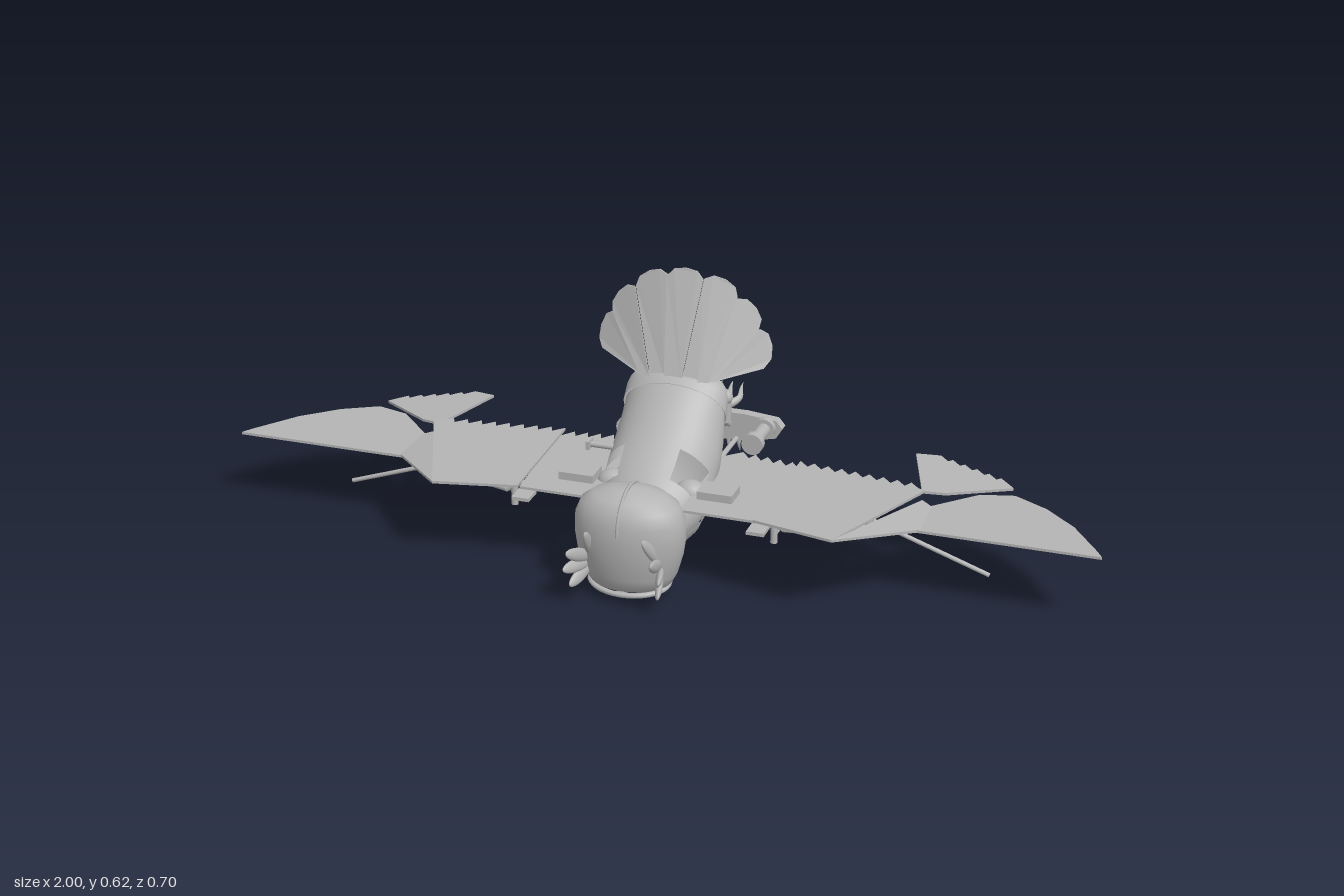
import * as THREE from 'three';
import { mergeVertices } from 'three/addons/utils/BufferGeometryUtils.js';

const grey = new THREE.MeshStandardMaterial({ color: 0xb4b4b4, side: THREE.DoubleSide });
grey.name = 'plain grey';
const V = (x, y, z) => new THREE.Vector3(x, y, z);

function add(parent, name, geometry) {
  const mesh = new THREE.Mesh(geometry, grey);
  mesh.name = name;
  parent.add(mesh);
  return mesh;
}

// Round rod between two points
function rod(parent, name, a, b, r, r2 = r, sides = 16) {
  const m = add(parent, name, new THREE.CylinderGeometry(r2, r, a.distanceTo(b), sides));
  m.position.copy(a).lerp(b, 0.5);
  m.quaternion.setFromUnitVectors(V(0, 1, 0), b.clone().sub(a).normalize());
  return m;
}

function box(parent, name, w, h, d, x, y, z) {
  add(parent, name, new THREE.BoxGeometry(w, h, d)).position.set(x, y, z);
}

function ball(parent, name, r, p, sx = 1, sy = 1, sz = 1) {
  const m = add(parent, name, new THREE.SphereGeometry(r, 20, 14));
  m.position.copy(p);
  m.scale.set(sx, sy, sz);
  return m;
}

// Curved spike that narrows to a point
function spike(parent, name, points, r) {
  const curve = new THREE.CatmullRomCurve3(points), n = 12, sides = 8;
  const g = new THREE.TubeGeometry(curve, n, r, sides);
  const pos = g.attributes.position, p = V(0, 0, 0);
  for (let i = 0; i <= n; i++) {
    const c = curve.getPointAt(i / n);
    for (let j = 0; j <= sides; j++) {
      const k = i * (sides + 1) + j;
      p.fromBufferAttribute(pos, k).lerp(c, 0.98 * (i / n) ** 1.5);
      pos.setXYZ(k, p.x, p.y, p.z);
    }
  }
  g.computeVertexNormals();
  return add(parent, name, g);
}

// Skin over oval sections [topZ, topY, bottomZ, bottomY, halfWidth]; skip leaves openings
function loft(sections, { from = 0, to = Math.PI * 2, n = 40, grow = 1, skip = () => false } = {}) {
  const pos = [], idx = [];
  sections.forEach(([tz, ty, bz, by, w], i) => {
    for (let j = 0; j <= n; j++) {
      const a = from + (to - from) * j / n, c = Math.cos(a) * grow / 2;
      pos.push(w * grow * Math.sin(a), (ty + by) / 2 + (ty - by) * c, (tz + bz) / 2 + (tz - bz) * c);
      if (i && j && !skip(i, Math.abs(Math.atan2(Math.sin(a), Math.cos(a))))) {
        const q = i * (n + 1) + j, p = q - n - 1;
        idx.push(p - 1, q - 1, q, p - 1, q, p);
      }
    }
  });
  let g = new THREE.BufferGeometry();
  g.setAttribute('position', new THREE.Float32BufferAttribute(pos, 3));
  g.setIndex(idx);
  g = mergeVertices(g, 1e-5);
  g.computeVertexNormals();
  return g;
}

// Thin plate with outline (x, z) whose height follows a rule
function plate(outline, height, thick = 0.006) {
  const shape = new THREE.Shape(outline.map(([x, z]) => new THREE.Vector2(x, -z)));
  const g = new THREE.ExtrudeGeometry(shape, { depth: thick, bevelEnabled: false });
  g.rotateX(-Math.PI / 2);
  const p = g.attributes.position;
  for (let i = 0; i < p.count; i++) p.setY(i, p.getY(i) + height(p.getX(i), p.getZ(i)));
  g.computeVertexNormals();
  return g;
}

// Saw-toothed edge between two outline points
function teeth([x0, z0], [x1, z1], n, depth) {
  const out = [];
  for (let i = 0; i < n; i++) {
    const a = i / n, b = (i + 0.7) / n;
    out.push([x0 + (x1 - x0) * a, z0 + (z1 - z0) * a]);
    out.push([x0 + (x1 - x0) * b, z0 + (z1 - z0) * b - depth]);
  }
  return out;
}

function buildHead(parent) {
  const head = new THREE.Group();
  head.name = 'head';
  const profile = [[0, 0.26], [0.03, 0.255], [0.058, 0.242], [0.076, 0.222], [0.085, 0.19], [0.086, 0.15],
    [0.082, 0.11], [0.073, 0.065], [0.062, 0.035], [0.05, 0.04], [0.045, 0.06], [0, 0.085]]
    .map(([r, y]) => new THREE.Vector2(r, y)).reverse();
  const shell = add(head, 'headShell', new THREE.LatheGeometry(profile, 40));
  shell.scale.set(1.45, 1, 1);
  shell.position.z = 0.2;
  // Raised seam over the crown
  const seam = add(head, 'crownSeam', new THREE.TorusGeometry(0.087, 0.004, 6, 32, Math.PI));
  seam.rotation.y = Math.PI / 2;
  seam.position.set(0, 0.174, 0.2);
  // Rim round the face opening
  const rim = add(head, 'faceRim', new THREE.TorusGeometry(0.062, 0.006, 8, 36));
  rim.rotation.x = Math.PI / 2 + 0.15;
  rim.scale.x = 1.4;
  rim.position.set(0, 0.038, 0.205);
  spike(head, 'beak', [V(0, 0.035, 0.26), V(0, 0.026, 0.225), V(0, 0.014, 0.19), V(0, 0.008, 0.155)], 0.012);
  // Whisker feathers at both sides of the face
  for (const s of [1, -1]) {
    for (const [x, y, z] of [[0.065, 0.185, 0.31], [0.095, 0.148, 0.345], [0.108, 0.1, 0.33], [0.1, 0.056, 0.312]]) {
      const tip = V(s * x, y, z), root = V(s * 0.08, 0.065 + y * 0.2, 0.23);
      const f = ball(head, 'faceFeather', 1, root.clone().lerp(tip, 0.5), 0.008, root.distanceTo(tip) / 2, 0.015);
      f.quaternion.setFromUnitVectors(V(0, 1, 0), tip.clone().sub(root).normalize());
    }
  }
  parent.add(head);
}

function buildBody(parent) {
  const torso = [[0.115, 0.225, 0.12, 0.06, 0.1], [0.095, 0.245, 0.06, 0.063, 0.116], [0.07, 0.266, 0.02, 0.076, 0.122],
    [0.035, 0.293, -0.03, 0.1, 0.124], [-0.005, 0.325, -0.08, 0.135, 0.124], [-0.04, 0.362, -0.118, 0.185, 0.12],
    [-0.07, 0.388, -0.128, 0.25, 0.116]];
  // Shoulder openings are left in both flanks
  add(parent, 'torso', loft(torso, { skip: (i, a) => i <= 3 && i > 1 && a > 0.55 && a < 1.35 }));
  const rump = [[-0.068, 0.39, -0.122, 0.245, 0.12], [-0.08, 0.402, -0.15, 0.3, 0.118], [-0.088, 0.404, -0.16, 0.335, 0.112],
    [-0.095, 0.403, -0.157, 0.37, 0.1], [-0.105, 0.4, -0.14, 0.39, 0.06], [-0.12, 0.395, -0.122, 0.394, 0.002]];
  add(parent, 'rump', loft(rump));
  // Overlapping chest plates behind the head
  for (let k = 0; k < 3; k++) {
    const a = torso[k], b = torso[k + 1];
    add(parent, 'chestPlate', loft([a, b], { from: 1.75, to: Math.PI * 2 - 1.75, n: 24, grow: 1.05 - 0.012 * k }));
  }
  for (const s of [1, -1]) ball(parent, 'shoulder', 0.03, V(s * 0.09, 0.195, 0.06), 1.2, 1, 1);
  rod(parent, 'windingKey', V(-0.11, 0.25, 0), V(-0.165, 0.25, 0), 0.007);
  box(parent, 'windingKeyGrip', 0.008, 0.02, 0.03, -0.167, 0.25, 0);
}

function buildTail(parent) {
  const n = 7, dish = (x, y) => -0.09 - 0.4 * (y - 0.4) - 1.5 * x * x;
  for (let i = 0; i < n; i++) {
    const at = (t, r) => [r * Math.cos(t), 0.42 + r * Math.sin(t)];
    const t0 = i / n * Math.PI, t1 = (i + 1) / n * Math.PI, tm = (t0 + t1) / 2;
    const pts = [[0.09 * Math.cos(t0), 0.395], at(t0, 0.19), at(t0 * 0.6 + tm * 0.4, 0.203), at(tm, 0.206),
      at(t1 * 0.6 + tm * 0.4, 0.203), at(t1, 0.19), [0.09 * Math.cos(t1), 0.395]];
    const g = new THREE.ExtrudeGeometry(new THREE.Shape(pts.map(p => new THREE.Vector2(...p))), { depth: 0.004, bevelEnabled: false });
    const p = g.attributes.position;
    for (let k = 0; k < p.count; k++) p.setZ(k, p.getZ(k) + dish(p.getX(k), p.getY(k)) + (i % 2) * 0.006);
    g.computeVertexNormals();
    add(parent, 'tailFeather', g);
  }
}

function buildWing(parent, s) {
  const wing = new THREE.Group();
  wing.name = s > 0 ? 'leftWing' : 'rightWing';
  const panel = (name, pts, height) => add(wing, name, plate(pts.map(([x, z]) => [s * x, z]), height));
  panel('innerPanel', [[0.1, 0.165], [0.27, 0.165], [0.29, -0.12], ...teeth([0.28, -0.125], [0.13, -0.145], 5, 0.025), [0.1, -0.13]], () => 0.196);
  panel('mainPanel', [[0.27, 0.18], [0.455, 0.22], [0.58, -0.085], ...teeth([0.565, -0.09], [0.27, -0.125], 9, 0.022)], () => 0.205);
  panel('foldPanel', [[0.455, 0.22], [0.605, 0.05], [0.6, -0.07], [0.575, -0.085]], x => 0.205 - Math.max(0, Math.abs(x) - 0.455) * 0.2);
  panel('tipPanel', [[0.595, 0.055], [1, 0.055], [0.985, 0.03], [0.915, -0.07], [0.84, -0.14], [0.76, -0.185], [0.685, -0.165], [0.575, -0.05]], () => 0.175);
  panel('rearFeather', [[0.57, -0.1], [0.62, -0.115], [0.75, -0.21], ...teeth([0.735, -0.225], [0.555, -0.285], 6, 0.014), [0.51, -0.28]],
    x => 0.2 - (Math.abs(x) - 0.51) * 0.08);
  // Linkage rods and hinge blocks under the wing
  const P = (x, y, z) => V(s * x, y, z);
  const path = [P(0.12, 0.19, 0.12), P(0.28, 0.19, 0.12), P(0.32, 0.165, 0.115), P(0.4, 0.147, 0.06), P(0.48, 0.147, 0), P(0.49, 0.165, 0)];
  path.slice(1).forEach((p, i) => rod(wing, 'linkRod', path[i], p, 0.005, 0.005, 10));
  rod(wing, 'tipStrut', P(0.48, 0.165, 0), P(0.75, 0.072, 0), 0.005, 0.005, 10);
  rod(wing, 'crossLink', P(0.3, 0.15, 0.12), P(0.3, 0.15, 0), 0.004, 0.004, 8);
  for (const [x, z] of [[0.3, 0.12], [0.3, 0], [0.48, 0]]) rod(wing, 'hingePost', P(x, 0.135, z), P(x, 0.2, z), 0.008);
  box(wing, 'rootHinge', 0.08, 0.018, 0.06, s * 0.16, 0.215, 0.08);
  box(wing, 'frontHinge', 0.04, 0.008, 0.05, s * 0.27, 0.17, 0.14);
  parent.add(wing);
}

function buildLeg(parent, s) {
  const leg = new THREE.Group();
  leg.name = s > 0 ? 'leftLeg' : 'rightLeg';
  const x = s * 0.055;
  rod(leg, 'thigh', V(x, 0.265, -0.09), V(x, 0.27, -0.18), 0.035, 0.026);
  rod(leg, 'thighSleeve', V(x, 0.278, -0.18), V(x, 0.278, -0.222), 0.018);
  rod(leg, 'shank', V(x, 0.278, -0.21), V(x, 0.278, -0.285), 0.009);
  ball(leg, 'knee', 0.014, V(x, 0.278, -0.24));
  ball(leg, 'ankle', 0.018, V(x, 0.275, -0.293));
  rod(leg, 'foot', V(x, 0.275, -0.295), V(x, 0.215, -0.295), 0.014);
  // Talons gripping the bar
  for (const d of [-1, 0, 1]) {
    const X = x + d * 0.025;
    spike(leg, 'upperTalon', [V(x, 0.25, -0.3), V(X, 0.265, -0.322), V(X, 0.283, -0.335), V(X, 0.292, -0.35)], 0.011);
    spike(leg, 'lowerTalon', [V(x, 0.215, -0.3), V(X, 0.18, -0.325), V(X, 0.15, -0.322), V(X, 0.126, -0.332)], 0.011);
  }
  parent.add(leg);
}

function buildCarriedFrame(parent) {
  const frame = new THREE.Group();
  frame.name = 'carriedFrame';
  // Long bar with tapered ends
  const half = [[0.1, 0.168], [0.175, 0.185], [0.19, 0.21], [0.175, 0.228], [0.1, 0.235]];
  const outline = [...half, ...half.map(([x, y]) => [-x, y]).reverse()].map(p => new THREE.Vector2(...p));
  const bar = add(frame, 'crossbar', new THREE.ExtrudeGeometry(new THREE.Shape(outline), { depth: 0.025, bevelEnabled: false }));
  bar.position.z = -0.325;
  rod(frame, 'centrePost', V(0, 0.21, -0.13), V(0, 0.21, -0.32), 0.02);
  for (const s of [1, -1]) {
    rod(frame, 'sidePost', V(s * 0.15, 0.21, -0.2), V(s * 0.15, 0.21, -0.31), 0.016);
    for (const z of [-0.205, -0.295]) rod(frame, 'sidePostCollar', V(s * 0.15, 0.21, z + 0.01), V(s * 0.15, 0.21, z - 0.01), 0.025);
    rod(frame, 'rail', V(s * 0.08, 0.172, -0.11), V(s * 0.08, 0.172, -0.31), 0.006);
    const ring = add(frame, 'boltRing', new THREE.TorusGeometry(0.022, 0.005, 8, 24));
    ring.position.set(s * 0.055, 0.205, -0.327);
  }
  parent.add(frame);
}

export function createModel() {
  const model = new THREE.Group();
  model.name = 'mechanicalBird';
  buildHead(model);
  buildBody(model);
  buildTail(model);
  for (const s of [1, -1]) {
    buildWing(model, s);
    buildLeg(model, s);
  }
  buildCarriedFrame(model);
  return model;
}
